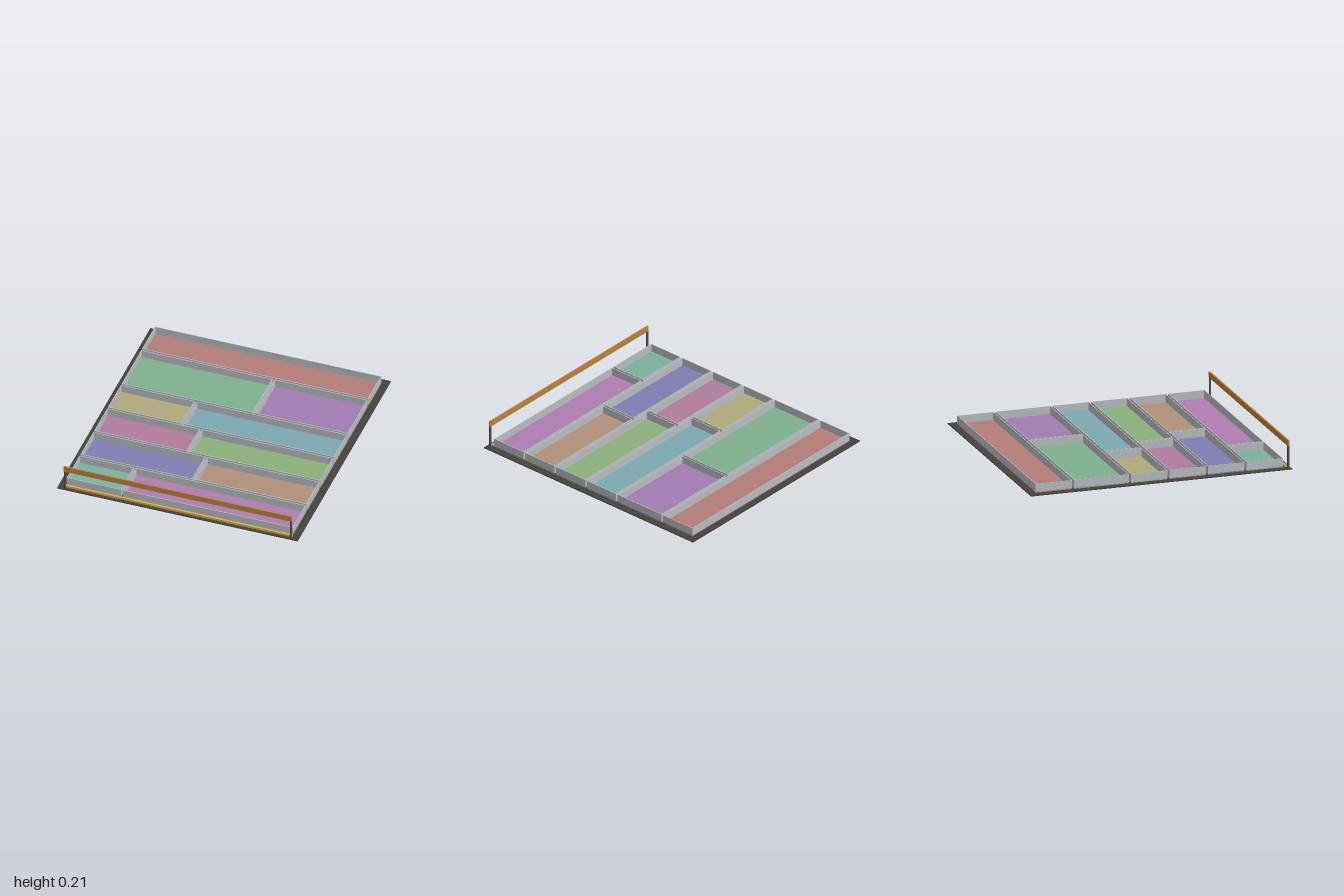
import * as THREE from 'three';

const paint = (color) => new THREE.MeshStandardMaterial({ color });

// Box given by its minimum and maximum corners
function block(name, [x0, y0, z0], [x1, y1, z1], material) {
  const mesh = new THREE.Mesh(new THREE.BoxGeometry(x1 - x0, y1 - y0, z1 - z0), material);
  mesh.position.set((x0 + x1) / 2, (y0 + y1) / 2, (z0 + z1) / 2);
  mesh.name = name;
  return mesh;
}

const WALL = 0.006;
const BASE_TOP = 0.006;
const FLOOR_TOP = 0.014;
const WALL_TOP = 0.073;

// Open tray: coloured floor with a thin wall around it
function tray(x0, x1, z0, z1, floorColor, wallMaterial) {
  const group = new THREE.Group();
  group.name = 'tray';
  group.add(block('trayFloor', [x0, BASE_TOP, z0], [x1, FLOOR_TOP, z1], paint(floorColor)));

  const rect = (Type, inset) => new Type([
    new THREE.Vector2(x0 + inset, -z1 + inset), new THREE.Vector2(x1 - inset, -z1 + inset),
    new THREE.Vector2(x1 - inset, -z0 - inset), new THREE.Vector2(x0 + inset, -z0 - inset),
  ]);
  const outline = rect(THREE.Shape, 0);
  outline.holes.push(rect(THREE.Path, WALL));
  const geometry = new THREE.ExtrudeGeometry(outline, { depth: WALL_TOP - FLOOR_TOP, bevelEnabled: false });
  geometry.rotateX(-Math.PI / 2);
  const wall = new THREE.Mesh(geometry, wallMaterial);
  wall.position.y = FLOOR_TOP;
  wall.name = 'trayWall';
  group.add(wall);
  return group;
}

export function createModel() {
  const model = new THREE.Group();
  model.name = 'trayBoard';
  const dark = paint(0x45423e);
  const steel = paint(0x4a4d52);
  const wallMaterial = paint(0xb8bcc0);

  // Base plate
  model.add(block('basePlate', [-0.925, 0, -1], [0.925, BASE_TOP, 1], dark));

  // Rows of trays from back to front: depth, centre of the split, floor colours
  const rows = [
    { depth: 0.28, split: null, colors: [0xb47c7a] },
    { depth: 0.42, split: 0.148, colors: [0x7fb08e, 0xa07db2] },
    { depth: 0.28, split: -0.293, colors: [0xb0a97c, 0x7da8b0] },
    { depth: 0.28, split: -0.147, colors: [0xb07c9c, 0x8cb07c] },
    { depth: 0.28, split: 0, colors: [0x7f7db2, 0xb0917c] },
    { depth: 0.28, split: -0.443, colors: [0x7db09f, 0xad7db0] },
  ];
  const gap = 0.015;
  const half = 0.87;
  let z = -0.947;
  for (const { depth, split, colors } of rows) {
    const spans = split === null
      ? [[-half, half]]
      : [[-half, split - gap / 2], [split + gap / 2, half]];
    spans.forEach(([x0, x1], i) => model.add(tray(x0, x1, z, z + depth, colors[i], wallMaterial)));
    z += depth + gap;
  }

  // Low strip along the front edge
  model.add(block('frontStrip', [-0.875, BASE_TOP, 0.957], [0.875, 0.022, 0.975], paint(0xd2a84e)));

  // Raised front rail on two posts
  model.add(block('frontRail', [-0.877, 0.163, 0.982], [0.877, 0.207, 0.994], paint(0xb8823f)));
  for (const side of [-1, 1]) {
    const post = block('railPost', [-0.006, BASE_TOP, 0.982], [0.006, 0.163, 0.994], steel);
    post.position.x = side * 0.869;
    model.add(post);
  }
  return model;
}
